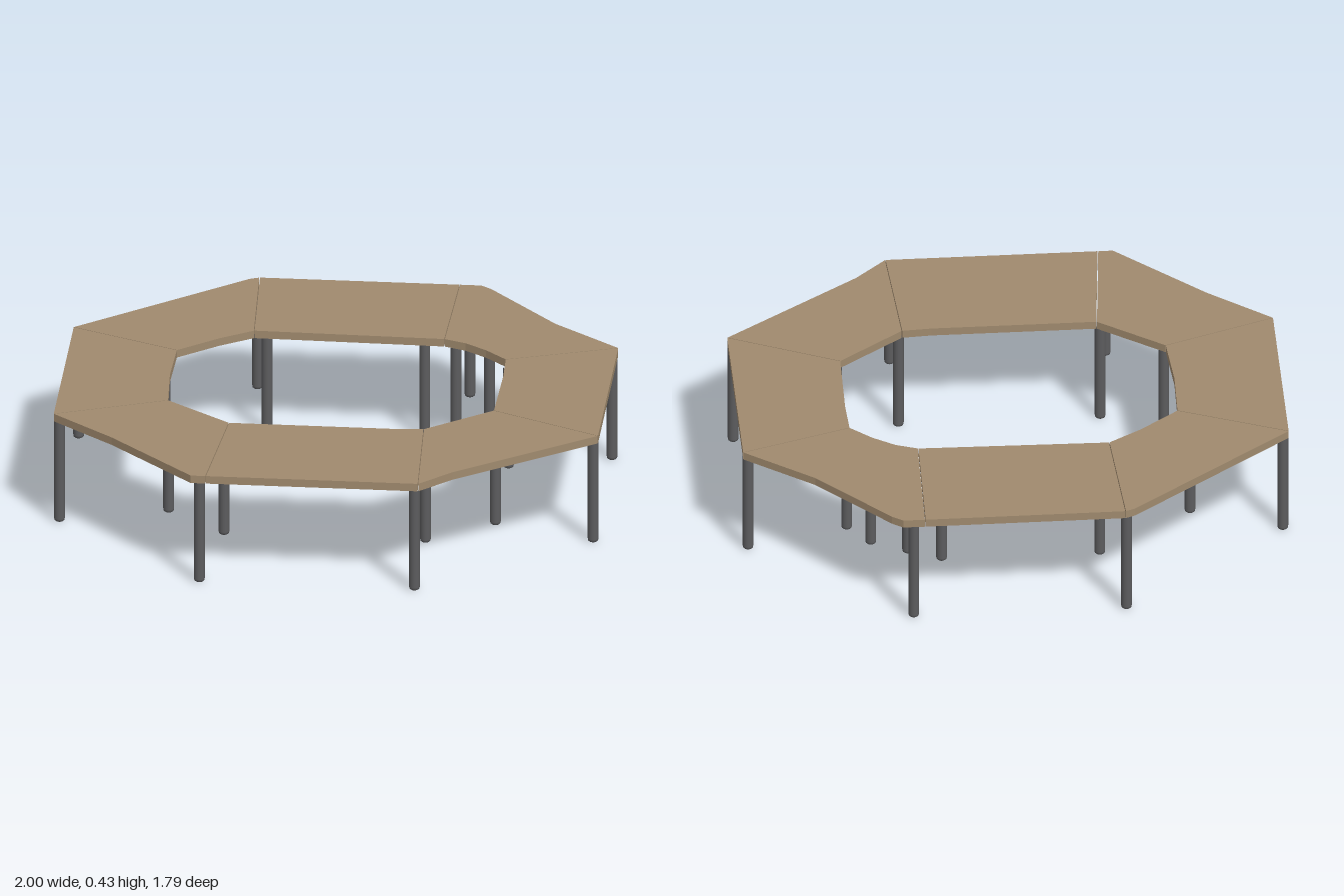
import * as THREE from 'three';

const TOP = 0.43, THICK = 0.03, GAP = 0.0015;

// Each panel: outer edge and inner edge as (x, z) points, both running clockwise seen from above
const PANELS = {
  backPanel: [[[-0.365, -0.895], [0.37, -0.9]], [[-0.34, -0.42], [0.36, -0.41]]],
  backLeftPanel: [[[0.37, -0.9], [0.45, -0.9], [0.49, -0.87], [0.75, -0.585], [1, -0.39]],
    [[0.36, -0.41], [0.44, -0.38], [0.52, -0.325], [0.6, -0.25]]],
  leftPanel: [[[1, -0.39], [1, 0.4]], [[0.6, -0.25], [0.605, -0.1], [0.6, 0.21]]],
  frontLeftPanel: [[[1, 0.4], [0.5, 0.775], [0.385, 0.89]], [[0.6, 0.21], [0.36, 0.4]]],
  frontPanel: [[[0.385, 0.89], [-0.395, 0.893]], [[0.36, 0.4], [0.25, 0.408], [-0.355, 0.41]]],
  frontRightPanel: [[[-0.395, 0.893], [-0.45, 0.893], [-0.77, 0.58], [-1, 0.39]], [[-0.355, 0.41], [-0.595, 0.23]]],
  rightPanel: [[[-1, 0.39], [-1, -0.39]], [[-0.595, 0.23], [-0.61, 0], [-0.605, -0.22]]],
  backRightPanel: [[[-1, -0.39], [-0.4, -0.88], [-0.365, -0.895]], [[-0.605, -0.22], [-0.46, -0.34], [-0.34, -0.42]]],
};

const OUTER_LEGS = [[0.98, 0.38], [0.98, -0.36], [0.41, -0.87], [-0.37, -0.87],
  [-0.98, -0.37], [-0.98, 0.38], [-0.42, 0.87], [0.37, 0.87]];
const INNER_LEGS = [[0.61, 0.26], [0.61, -0.25], [0.53, -0.36], [0.4, -0.43], [0.28, -0.49],
  [-0.3, -0.49], [-0.65, -0.23], [-0.59, 0.26], [-0.37, 0.44], [0.37, 0.44]];

// Pull both ends of an edge in slightly so a fine seam shows between panels
function insetEnds(points) {
  const p = points.map(([x, z]) => new THREE.Vector2(x, z));
  const n = p.length - 1;
  const start = p[1].clone().sub(p[0]).setLength(GAP);
  const end = p[n - 1].clone().sub(p[n]).setLength(GAP);
  p[0].add(start);
  p[n].add(end);
  return p;
}

function makePanel(name, [outer, inner], material) {
  const shape = new THREE.Shape([...insetEnds(outer), ...insetEnds(inner).reverse()]);
  const geometry = new THREE.ExtrudeGeometry(shape, { depth: THICK, bevelEnabled: false });
  geometry.rotateX(Math.PI / 2);
  geometry.translate(0, TOP, 0);
  const mesh = new THREE.Mesh(geometry, material);
  mesh.name = name;
  return mesh;
}

export function createModel() {
  const model = new THREE.Group();
  model.name = 'ringTable';
  const wood = new THREE.MeshStandardMaterial({ color: 0xa08a6e });
  const metal = new THREE.MeshStandardMaterial({ color: 0x5c5c5e });

  // Table top in eight panels
  const top = new THREE.Group();
  top.name = 'tableTop';
  for (const [name, edges] of Object.entries(PANELS)) top.add(makePanel(name, edges, wood));
  model.add(top);

  // Round legs with softened feet
  const r = 0.02;
  const profile = [[0, 0], [r * 0.7, 0], [r * 0.93, 0.004], [r, 0.012], [r, TOP - THICK]]
    .map(([x, y]) => new THREE.Vector2(x, y));
  const legGeometry = new THREE.LatheGeometry(profile, 16);
  const addLegs = (name, spots) => {
    const group = new THREE.Group();
    group.name = name + 's';
    for (const [x, z] of spots) {
      const leg = new THREE.Mesh(legGeometry, metal);
      leg.name = name;
      leg.position.set(x, 0, z);
      group.add(leg);
    }
    model.add(group);
  };
  addLegs('outerLeg', OUTER_LEGS);
  addLegs('innerLeg', INNER_LEGS);

  return model;
}
